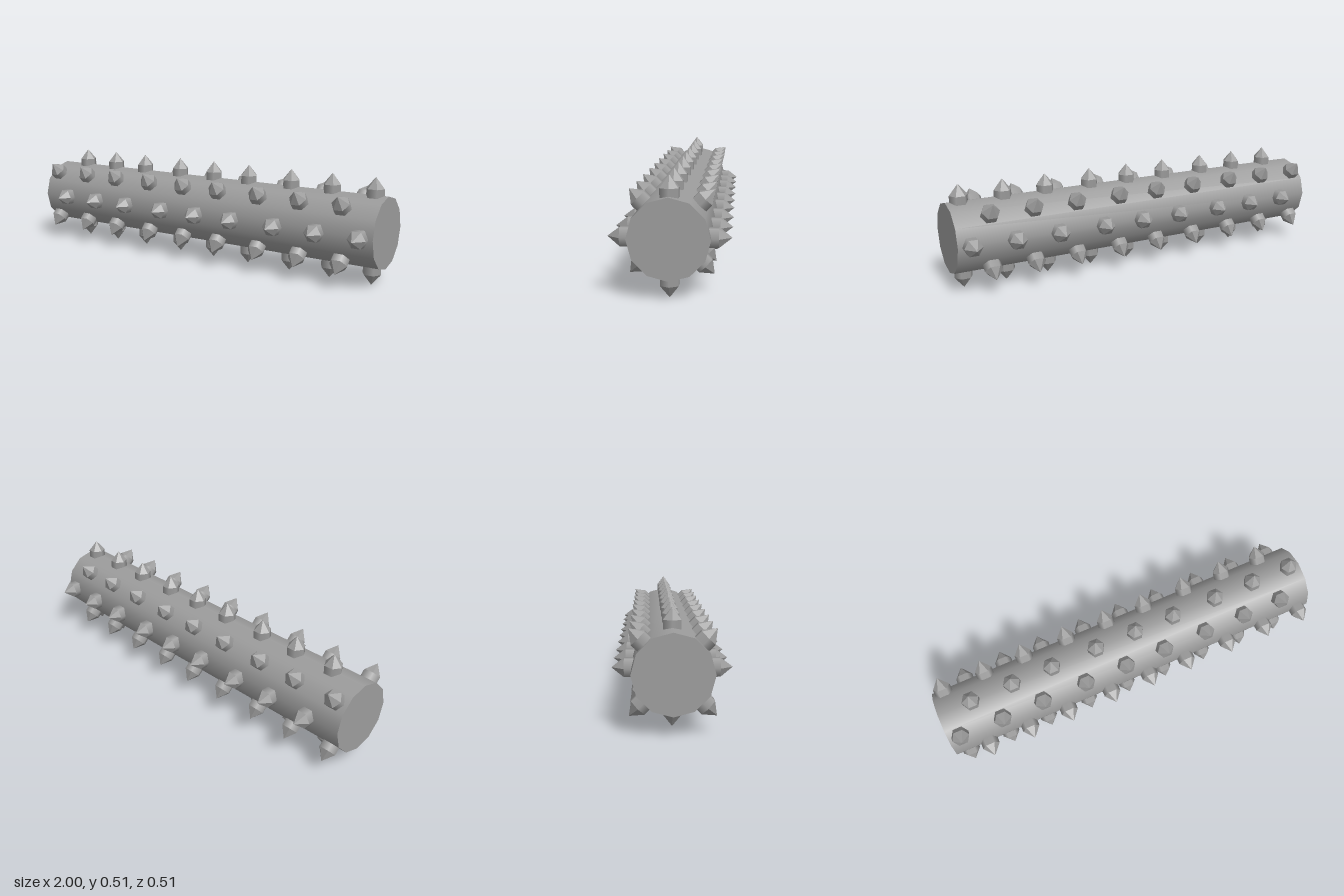
import * as THREE from 'three';

export function createModel() {
  const group = new THREE.Group();
  const smooth = new THREE.MeshStandardMaterial({ color: 0x9d9d9d });
  const faceted = new THREE.MeshStandardMaterial({ color: 0x9d9d9d, flatShading: true });
  const centreY = 0.253;

  // Twelve-sided bar lying along x
  const bar = new THREE.Mesh(new THREE.CylinderGeometry(0.17, 0.17, 2, 12).rotateZ(Math.PI / 2), smooth);
  bar.name = 'bar';
  bar.position.y = centreY;
  group.add(bar);

  // Hexagonal stud: smooth collar with a faceted point, corners towards +x and -x
  const collarGeo = new THREE.CylinderGeometry(0.044, 0.044, 0.06, 6, 1, true, Math.PI / 2).translate(0, 0.17, 0);
  const pointGeo = new THREE.ConeGeometry(0.044, 0.053, 6, 1, true, Math.PI / 2).translate(0, 0.2265, 0);

  function addStud(x, angle) {
    const stud = new THREE.Group();
    stud.name = 'stud';
    const collar = new THREE.Mesh(collarGeo, smooth);
    collar.name = 'studCollar';
    const point = new THREE.Mesh(pointGeo, faceted);
    point.name = 'studPoint';
    stud.add(collar, point);
    stud.position.set(x, centreY, 0);
    stud.rotation.x = angle;
    group.add(stud);
  }

  // Eight rows; alternate rows are staggered, each made of three sections of three studs
  const straightRow = [-0.826, -0.61, -0.398];
  const diagonalRow = [-0.938, -0.717, -0.503];
  for (let row = 0; row < 8; row++) {
    const offsets = row % 2 === 0 ? straightRow : diagonalRow;
    for (let section = 0; section < 3; section++) {
      for (const x of offsets) addStud(x + section * 0.667, row * Math.PI / 4);
    }
  }
  return group;
}
